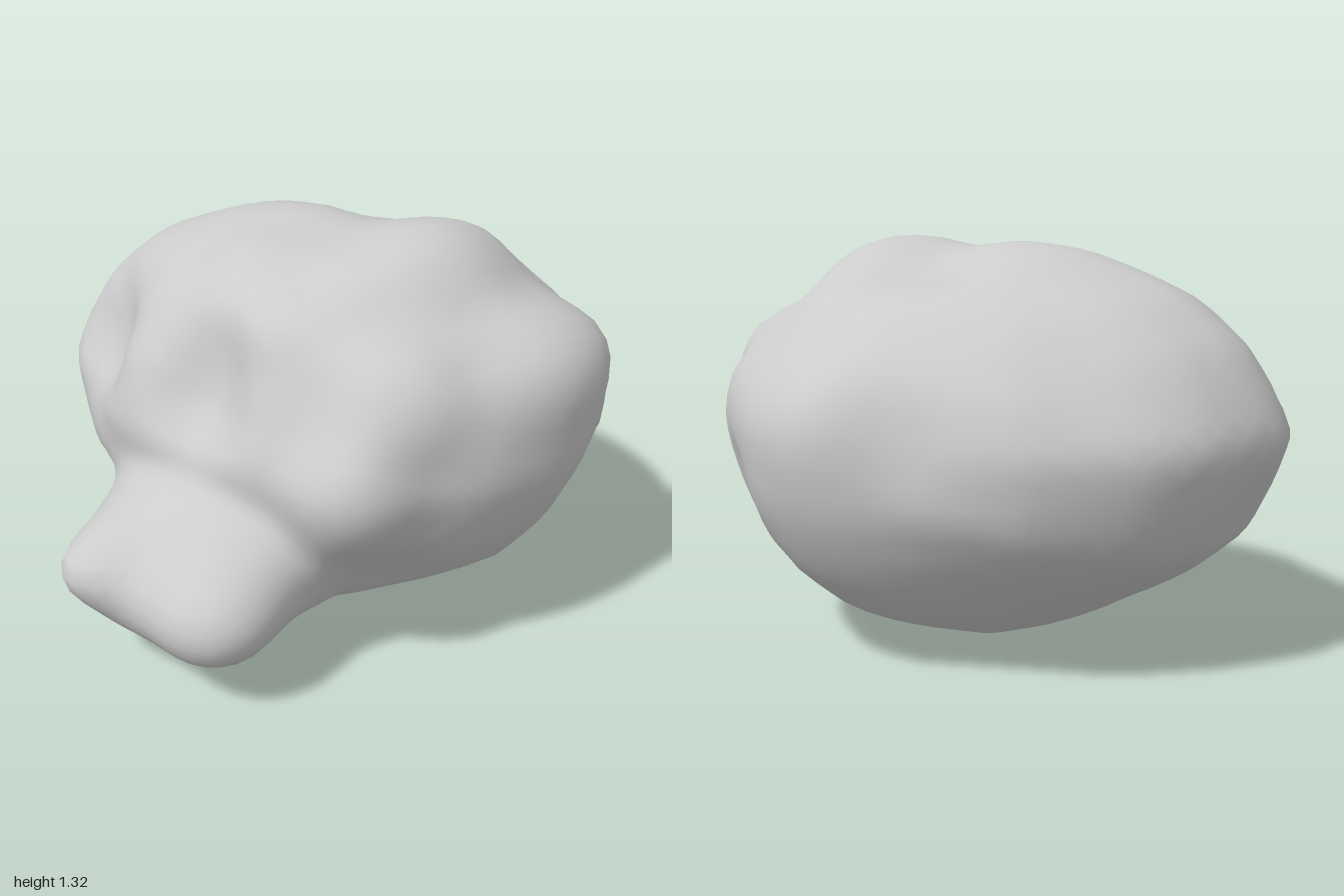
import * as THREE from 'three';
import { mergeVertices } from 'three/addons/utils/BufferGeometryUtils.js';

const CENTRE = new THREE.Vector3(0.12, 0.65, 0); // middle of the cranium
const ORIGIN = new THREE.Vector3(-0.18, 0.5, 0.02); // rays start here, in sight of cranium and muzzle

// Cranium outlines: front (x, y), side (z, y) and plan (x, z)
const FRONT = [[1, 0.75], [0.94, 0.89], [0.8, 1.0], [0.63, 1.12], [0.4, 1.22], [0.13, 1.3], [0.02, 1.3],
  [-0.2, 1.24], [-0.45, 1.1], [-0.6, 0.92], [-0.66, 0.7], [-0.6, 0.42], [-0.45, 0.2], [-0.25, 0.09],
  [0.05, -0.01], [0.33, 0.02], [0.63, 0.12], [0.85, 0.28], [0.96, 0.48]];
const SIDE = [[0.97, 0.93], [0.94, 1.02], [0.82, 1.1], [0.7, 1.15], [0.47, 1.31], [0.3, 1.31], [0.13, 1.25],
  [-0.07, 1.28], [-0.28, 1.25], [-0.65, 1.12], [-0.83, 0.98], [-0.99, 0.7], [-0.8, 0.37], [-0.45, 0.2],
  [-0.28, 0.08], [-0.12, 0], [0.25, -0.01], [0.42, 0.06], [0.72, 0.27], [0.83, 0.42], [0.95, 0.65]];
const PLAN = [[1, 0.08], [0.95, 0.3], [0.82, 0.52], [0.7, 0.7], [0.58, 0.77], [0.5, 0.89], [0.22, 0.96],
  [0.07, 0.95], [-0.2, 0.87], [-0.4, 0.77], [-0.55, 0.69], [-0.64, 0.58], [-0.66, 0.4], [-0.65, 0.15],
  [-0.6, -0.2], [-0.53, -0.45], [-0.45, -0.66], [-0.35, -0.82], [-0.2, -0.92], [0, -0.99], [0.35, -0.93],
  [0.5, -0.85], [0.75, -0.58], [0.85, -0.3], [0.9, -0.17], [0.98, -0.05]];

// Bulges: position, radii
const LOBES = [
  [[-0.51, 0.325, 0.04], [0.36, 0.22, 0.43]], // muzzle
  [[-0.83, 0.36, -0.1], [0.17, 0.11, 0.13]], // muzzle tips
  [[-0.78, 0.3, 0.28], [0.17, 0.15, 0.18]],
  [[-0.67, 0.27, 0.02], [0.23, 0.17, 0.28]], // chin
  [[-0.59, 0.46, 0.1], [0.17, 0.12, 0.28]], // bridge
  [[-0.45, 0.68, 0.54], [0.18, 0.18, 0.17]], // cheek
  [[-0.27, 0.9, 0.57], [0.19, 0.17, 0.18]], // temple
  [[-0.36, 1.03, 0.2], [0.12, 0.11, 0.12]], // brow
  [[0.14, 1.1, 0.41], [0.3, 0.19, 0.19]], // crown
  [[-0.19, 1.07, 0.02], [0.2, 0.15, 0.2]],
  [[0.2, 0.89, 0.78], [0.28, 0.17, 0.17]], // side of the head
  [[0.79, 0.72, 0.06], [0.17, 0.2, 0.14]], // back of the head
].map(([p, r]) => ({ p: new THREE.Vector3(...p), r: new THREE.Vector3(...r) }));

// Hollows: position, reach, depth
const HOLLOWS = [
  [[-0.4, 0.85, -0.59], 0.2, 0.16], // eye socket
  [[-0.64, 0.92, 0.46], 0.13, 0.06], // other eye socket
  [[-0.6, 0.89, 0.06], 0.15, 0.14], // nose opening
  [[0.42, 1.2, -0.02], 0.17, 0.04], // crown dip
  [[0.35, 0.52, 0.85], 0.12, 0.03], // side dents
  [[0.76, 0.54, 0.52], 0.12, 0.03],
  [[-0.32, 0.3, 0.58], 0.16, 0.05],
  [[0.05, 0.49, -0.82], 0.15, 0.03],
  [[0.85, 0.92, 0.14], 0.16, 0.03], // beside the back of the head
  [[0.92, 0.75, -0.28], 0.15, 0.03],
  [[0.65, 0.9, -0.62], 0.3, 0.03],
].map(([p, reach, depth]) => ({ p: new THREE.Vector3(...p), reach, depth }));

// How far an outline is from its centre in direction (u, v), as 1 / r squared
function inverseSquare(outline, cu, cv, u, v) {
  for (let i = 0; i < outline.length; i++) {
    const a = outline[i], b = outline[(i + 1) % outline.length];
    const ax = a[0] - cu, ay = a[1] - cv, ex = b[0] - a[0], ey = b[1] - a[1];
    const det = u * ey - v * ex;
    if (Math.abs(det) < 1e-9) continue;
    const t = (ax * ey - ay * ex) / det, s = (ax * v - ay * u) / det;
    if (t > 0 && s >= -1e-6 && s <= 1 + 1e-6) return 1 / (t * t);
  }
  return 0;
}

// Distance outside the rounded volume in which the three outlines blend
function cranium(p) {
  const d = p.clone().sub(CENTRE), r = d.length();
  d.divideScalar(r);
  const sum = inverseSquare(FRONT, CENTRE.x, CENTRE.y, d.x, d.y)
    + inverseSquare(SIDE, CENTRE.z, CENTRE.y, d.z, d.y)
    + inverseSquare(PLAN, CENTRE.x, CENTRE.z, d.x, d.z);
  return r - Math.sqrt(2 / sum);
}

function smoothMin(a, b, k) {
  const h = Math.max(k - Math.abs(a - b), 0) / k;
  return Math.min(a, b) - h * h * k / 4;
}

// Cranium joined softly to the bulges, less the hollows
function field(p) {
  let f = cranium(p) * 0.8;
  for (const { p: c, r } of LOBES) {
    const q = p.clone().sub(c).divide(r).length();
    f = smoothMin(f, (q - 1) * Math.min(r.x, r.y, r.z), 0.1);
  }
  for (const h of HOLLOWS) f += h.depth * Math.exp(-p.distanceToSquared(h.p) / (h.reach * h.reach));
  return f;
}

// Outermost surface point along a ray
function surfacePoint(d) {
  const p = new THREE.Vector3();
  const at = r => field(p.copy(d).multiplyScalar(r).add(ORIGIN));
  let r = 1.5;
  while (r > 0.2 && at(r) > 0) r -= 0.02;
  let lo = r, hi = r + 0.02;
  for (let i = 0; i < 8; i++) {
    const mid = (lo + hi) / 2;
    if (at(mid) > 0) hi = mid; else lo = mid;
  }
  return p.copy(d).multiplyScalar(lo).add(ORIGIN);
}

export function createModel() {
  const group = new THREE.Group();
  group.name = 'skullRock';

  let geometry = new THREE.IcosahedronGeometry(1, 18);
  geometry.deleteAttribute('normal');
  geometry.deleteAttribute('uv');
  geometry = mergeVertices(geometry, 1e-4);
  const pos = geometry.attributes.position, d = new THREE.Vector3();
  for (let i = 0; i < pos.count; i++) {
    const p = surfacePoint(d.fromBufferAttribute(pos, i).normalize());
    pos.setXYZ(i, p.x, p.y, p.z);
  }
  geometry.computeVertexNormals();

  const skull = new THREE.Mesh(geometry, new THREE.MeshStandardMaterial({ color: 0xcccccc }));
  skull.name = 'skull';
  group.add(skull);
  return group;
}
